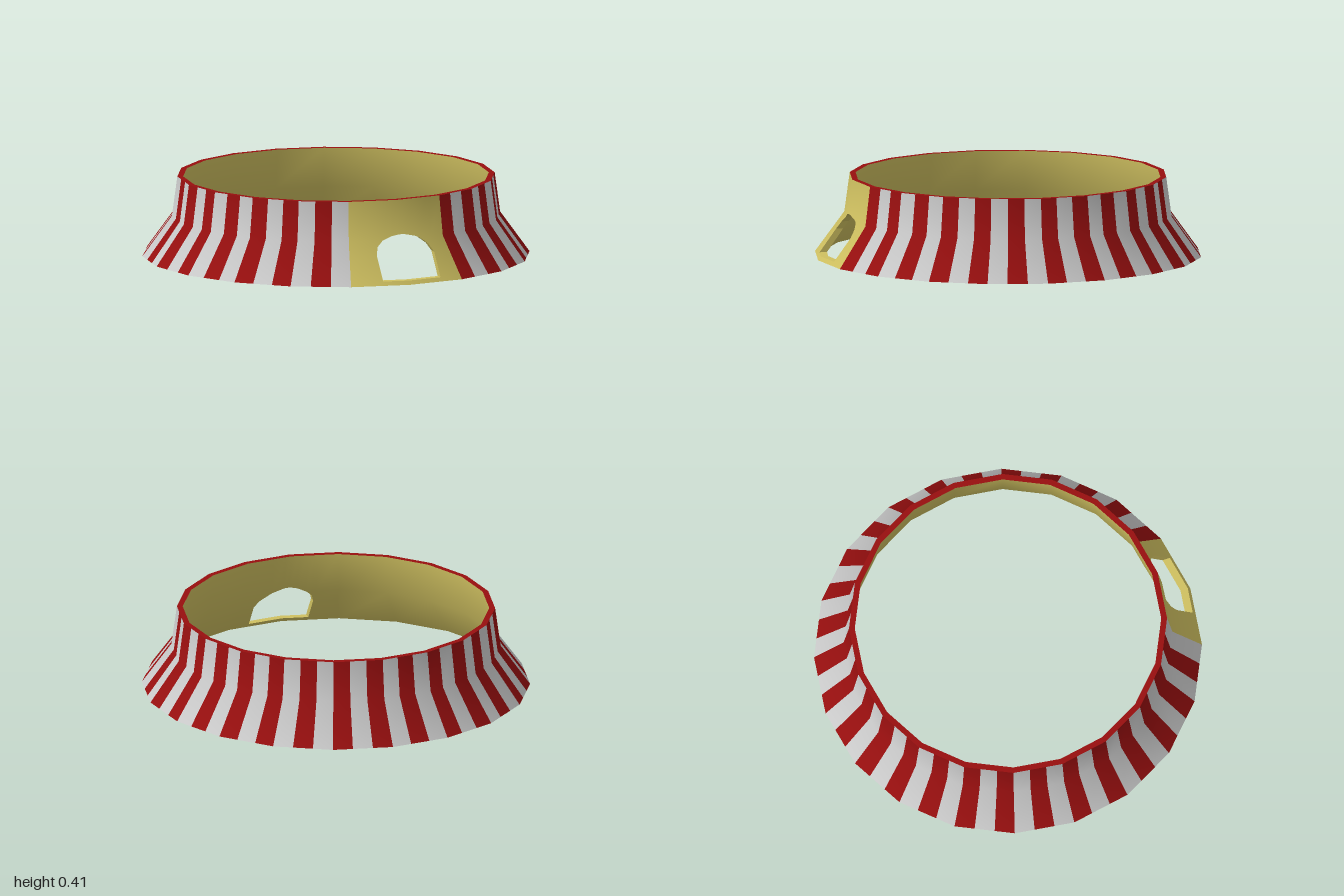
import * as THREE from 'three';

const SIDES = 20, STEP = (Math.PI * 2) / SIDES;
const BEND = 0.21, TOP = 0.415, SILL = 0.02;
const { lerp } = THREE.MathUtils;

const material = (color) => new THREE.MeshStandardMaterial({ color });

// Wall profile: flared skirt below the bend, nearly upright collar above
function radius(y, inner) {
  const [a, b, c] = inner ? [0.96, 0.812, 0.79] : [1, 0.848, 0.82];
  return y < BEND ? lerp(a, b, y / BEND) : lerp(b, c, (y - BEND) / (TOP - BEND));
}

// Point on the twenty-sided wall; k counts sides from the front centre towards +x
function wallPoint(k, y, inner) {
  const r = radius(y, inner), i = Math.floor(k), f = k - i;
  const at = (j) => new THREE.Vector3(Math.sin(j * STEP) * r, y, Math.cos(j * STEP) * r);
  const p = at(i).lerp(at(i + 1), f);
  const n = new THREE.Vector3(Math.sin(k * STEP), lerp(0.68, 0.1, y / TOP), Math.cos(k * STEP)).normalize();
  return { p, n: inner ? n.negate() : n };
}

// Point on the two front sides at a given x
const frontPoint = (x, y, inner) => wallPoint(x / (radius(y, inner) * Math.sin(STEP)), y, inner);

// Collects quads into one geometry
class Surface {
  constructor() { this.pos = []; this.nor = []; }
  quad(a, b, c, d, flat = false) {
    const n = b.p.clone().sub(a.p).cross(c.p.clone().sub(a.p)).normalize();
    for (const v of [a, b, c, a, c, d]) {
      this.pos.push(...v.p.toArray());
      this.nor.push(...(flat ? n : v.n).toArray());
    }
  }
  // Wall patch between two columns of points, seen from outside left to right
  patch(left, right, inner) {
    for (let j = 0; j < left.length - 1; j++) {
      if (inner) this.quad(right[j], left[j], left[j + 1], right[j + 1]);
      else this.quad(left[j], right[j], right[j + 1], left[j + 1]);
    }
  }
  mesh(name, mat) {
    const g = new THREE.BufferGeometry();
    g.setAttribute('position', new THREE.Float32BufferAttribute(this.pos, 3));
    g.setAttribute('normal', new THREE.Float32BufferAttribute(this.nor, 3));
    const m = new THREE.Mesh(g, mat);
    m.name = name;
    return m;
  }
}

// Arched doorway outline: x and arch height, left to right
const ARCH = [[-0.135, 0.14], [-0.12, 0.18], [-0.085, BEND], [-0.04, 0.23], [0, 0.238], [0.03, 0.238],
  [0.1, 0.222], [0.125, BEND], [0.165, 0.18], [0.188, 0.14]];

// Front panel with the doorway left open
function addDoorPanel(surface, inner) {
  const ys = [0, SILL, 0.14, BEND, TOP];
  const edge = (k) => ys.map((y) => wallPoint(k, y, inner));
  const column = (x, heights) => heights.map((y) => frontPoint(x, y, inner));
  const first = ARCH[0][0], last = ARCH[ARCH.length - 1][0];
  surface.patch(edge(-1), column(first, ys), inner);
  surface.patch(column(last, ys), edge(1), inner);
  for (let i = 0; i < ARCH.length - 1; i++) {
    const [[x0, h0], [x1, h1]] = [ARCH[i], ARCH[i + 1]];
    surface.patch(column(x0, [0, SILL]), column(x1, [0, SILL]), inner);
    const above = (h) => [h, Math.max(h, BEND), TOP];
    surface.patch(column(x0, above(h0)), column(x1, above(h1)), inner);
  }
}

export function createModel() {
  const group = new THREE.Group();
  const red = material(0x980f0f), white = material(0xcccccc), yellow = material(0xcfc060);
  const ys = [0, BEND, TOP];
  const column = (k, inner) => ys.map((y) => wallPoint(k, y, inner));

  // Striped outside, three stripes per side, skipping the door panel
  const stripes = [new Surface(), new Surface()];
  for (let i = 3; i < SIDES * 3 - 3; i++) {
    stripes[i % 2].patch(column(i / 3), column((i + 1) / 3));
  }
  group.add(stripes[1].mesh('redStripes', red), stripes[0].mesh('whiteStripes', white));

  // Outside of the door panel
  const panel = new Surface();
  addDoorPanel(panel, false);
  group.add(panel.mesh('doorPanel', yellow));

  // Inside lining
  const lining = new Surface();
  for (let k = 1; k < SIDES - 1; k++) lining.patch(column(k, true), column(k + 1, true), true);
  addDoorPanel(lining, true);
  group.add(lining.mesh('innerLining', yellow));

  // Top and bottom rims
  const topRim = new Surface(), bottomRim = new Surface();
  for (let k = 0; k < SIDES; k++) {
    const at = (j, y, inner) => wallPoint(j, y, inner);
    topRim.quad(at(k, TOP), at(k + 1, TOP), at(k + 1, TOP, true), at(k, TOP, true), true);
    bottomRim.quad(at(k, 0, true), at(k + 1, 0, true), at(k + 1, 0), at(k, 0), true);
  }
  group.add(topRim.mesh('topRim', red), bottomRim.mesh('bottomRim', red));

  // Reveal through the wall thickness, running round the doorway
  const reveal = new Surface();
  const sill = ARCH.map(([x]) => [x, SILL]).reverse();
  const outline = [...ARCH, ...sill];
  outline.forEach(([x0, y0], i) => {
    const [x1, y1] = outline[(i + 1) % outline.length];
    reveal.quad(frontPoint(x0, y0), frontPoint(x1, y1), frontPoint(x1, y1, true), frontPoint(x0, y0, true), true);
  });
  const revealMaterial = yellow.clone();
  revealMaterial.side = THREE.DoubleSide;
  group.add(reveal.mesh('doorReveal', revealMaterial));

  return group;
}
